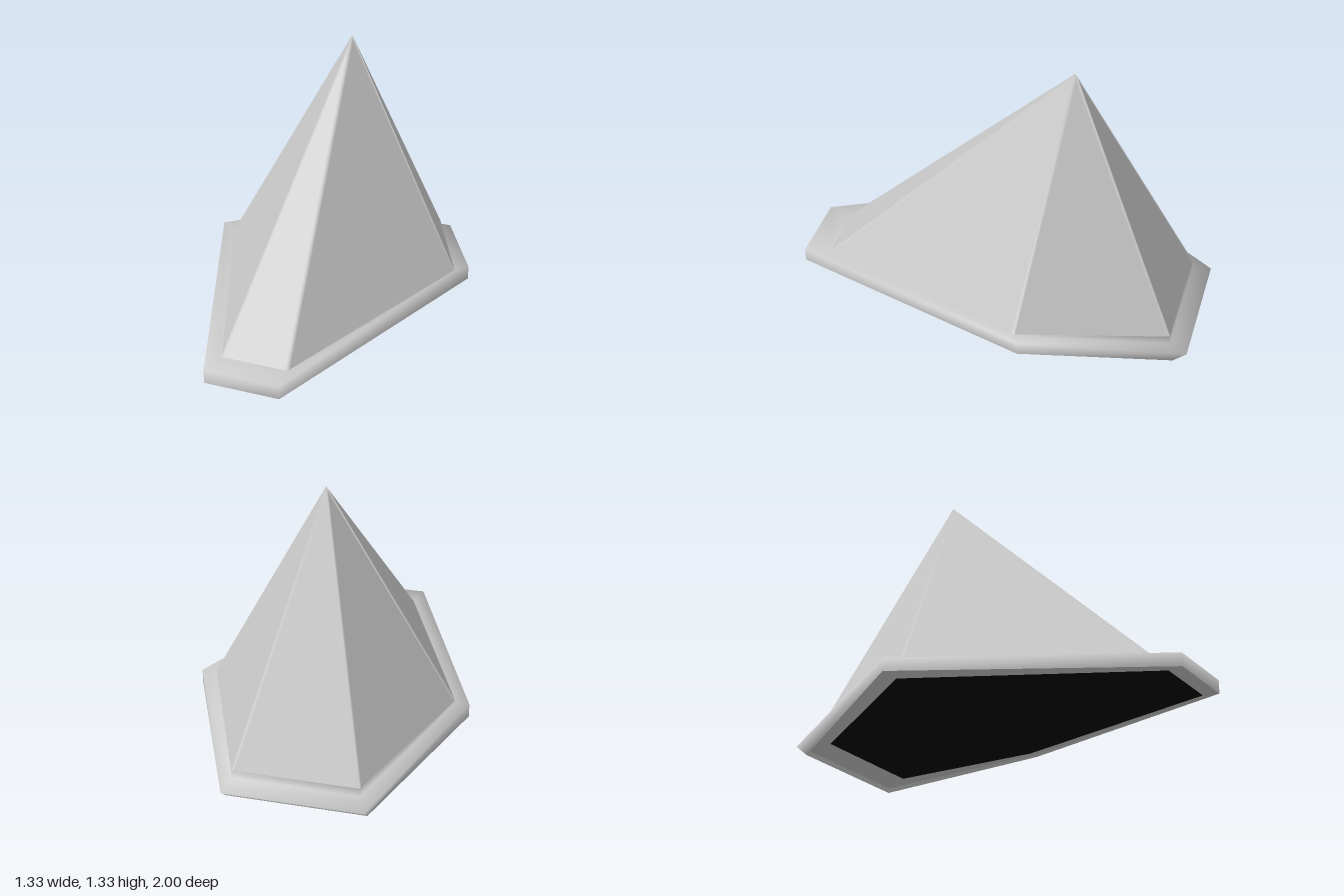
import * as THREE from 'three';

const UP = new THREE.Vector3(0, 1, 0);

// Three corners of one half, mirrored in x about the given centre line.
function ring(half, centre = 0) {
  const right = half.map(([x, y, z]) => new THREE.Vector3(centre + x, y, z));
  const left = half.map(([x, y, z]) => new THREE.Vector3(centre - x, y, z)).reverse();
  return [...right, ...left];
}

// Quads between successive closed rings, with evenly averaged smooth normals.
function loft(rings) {
  const n = rings[0].length, pts = rings.flat(), index = [];
  const normals = pts.map(() => new THREE.Vector3());
  for (let r = 0; r < rings.length - 1; r++) {
    for (let i = 0; i < n; i++) {
      const a = r * n + i, b = r * n + (i + 1) % n;
      index.push(a, b, b + n, a, b + n, a + n);
      const across = pts[b + n].clone().sub(pts[a]);
      const face = across.cross(pts[a + n].clone().sub(pts[b])).normalize();
      [a, b, a + n, b + n].forEach((k) => normals[k].add(face));
    }
  }
  const g = new THREE.BufferGeometry().setFromPoints(pts);
  g.setAttribute('normal', new THREE.Float32BufferAttribute(
    normals.flatMap((m) => m.normalize().toArray()), 3));
  g.setIndex(index);
  return g;
}

// Pyramid of flat panels with a softly rounded band of even width on each ridge.
function pyramid(base, apex, band) {
  const n = base.length, pos = [], nor = [];
  const tri = (...verts) => verts.forEach(([p, m]) => {
    pos.push(...p.toArray());
    nor.push(...m.toArray());
  });
  const faces = base.map((p, i) => base[(i + 1) % n].clone().sub(p)
    .cross(apex.clone().sub(p)).normalize());
  const ridges = base.map((p, i) => [p,
    faces[i].clone().add(faces[(i + n - 1) % n]).addScaledVector(UP, 1.2).normalize()]);
  const top = [apex, UP];
  base.forEach((p, i) => {
    const q = base[(i + 1) % n], m = faces[i];
    const along = q.clone().sub(p), up1 = apex.clone().sub(p), up2 = apex.clone().sub(q);
    const shift = (edge, side) => along.clone()
      .setLength(side * band / Math.sin(along.angleTo(edge)));
    const down = up1.clone().normalize().add(up2.clone().normalize());
    const drop = -band / Math.sin(up1.angleTo(up2) / 2);
    const start = [p.clone().add(shift(up1, 1)), m];
    const end = [q.clone().add(shift(up2, -1)), m];
    const tip = [apex.clone().add(down.setLength(1).multiplyScalar(drop)), m];
    const left = ridges[i], right = ridges[(i + 1) % n];
    tri(start, end, tip);
    tri(left, start, tip);
    tri(left, tip, top);
    tri(end, right, top);
    tri(end, top, tip);
  });
  const g = new THREE.BufferGeometry();
  g.setAttribute('position', new THREE.Float32BufferAttribute(pos, 3));
  g.setAttribute('normal', new THREE.Float32BufferAttribute(nor, 3));
  return g;
}

export function createModel() {
  const grey = new THREE.MeshStandardMaterial({ color: 0xc8c8c8 });
  grey.name = 'light grey';
  const black = new THREE.MeshStandardMaterial({ color: 0x040404 });
  black.name = 'black';

  const group = new THREE.Group();
  const add = (name, geometry, material) => {
    const mesh = new THREE.Mesh(geometry, material);
    mesh.name = name;
    group.add(mesh);
  };

  // Six-sided canopy, apex towards the back, a touch off the centre line
  const centre = 0.007;
  const apex = new THREE.Vector3(centre, 1.327, -0.34);
  const base = ring([[0.164, 0.15, 0.87], [0.596, 0.222, -0.213], [0.3, 0.122, -0.908]], centre);
  add('canopy', pyramid(base, apex, 0.012), grey);

  // Bent rim, from the underside around the outer edge up to the canopy foot
  const innerBottom = ring([[0.17, 0.082, 0.925], [0.582, 0.155, -0.235], [0.3, 0.045, -0.82]]);
  const lip = ring([[0.182, 0.083, 0.99], [0.655, 0.175, -0.249], [0.331, 0.023, -0.93]]);
  const outerBottom = ring([[0.185, 0.08, 1], [0.667, 0.165, -0.25], [0.335, 0, -0.935]]);
  const outerTop = ring([[0.185, 0.145, 1], [0.667, 0.23, -0.25], [0.335, 0.055, -1]]);
  const innerTop = ring([[0.166, 0.145, 0.885], [0.602, 0.217, -0.215], [0.302, 0.085, -0.912]], centre);
  add('rimUnderside', loft([innerBottom, lip]), grey);
  add('rimLip', loft([lip, outerBottom]), grey);
  add('rim', loft([outerBottom, outerTop, innerTop, base]), grey);

  // Dark underside: a central panel and two raised side wings
  const floor = new THREE.BufferGeometry().setFromPoints(innerBottom);
  floor.setIndex([0, 5, 3, 0, 3, 2, 0, 2, 1, 3, 5, 4]);
  floor.computeVertexNormals();
  add('underside', floor, black);

  return group;
}
